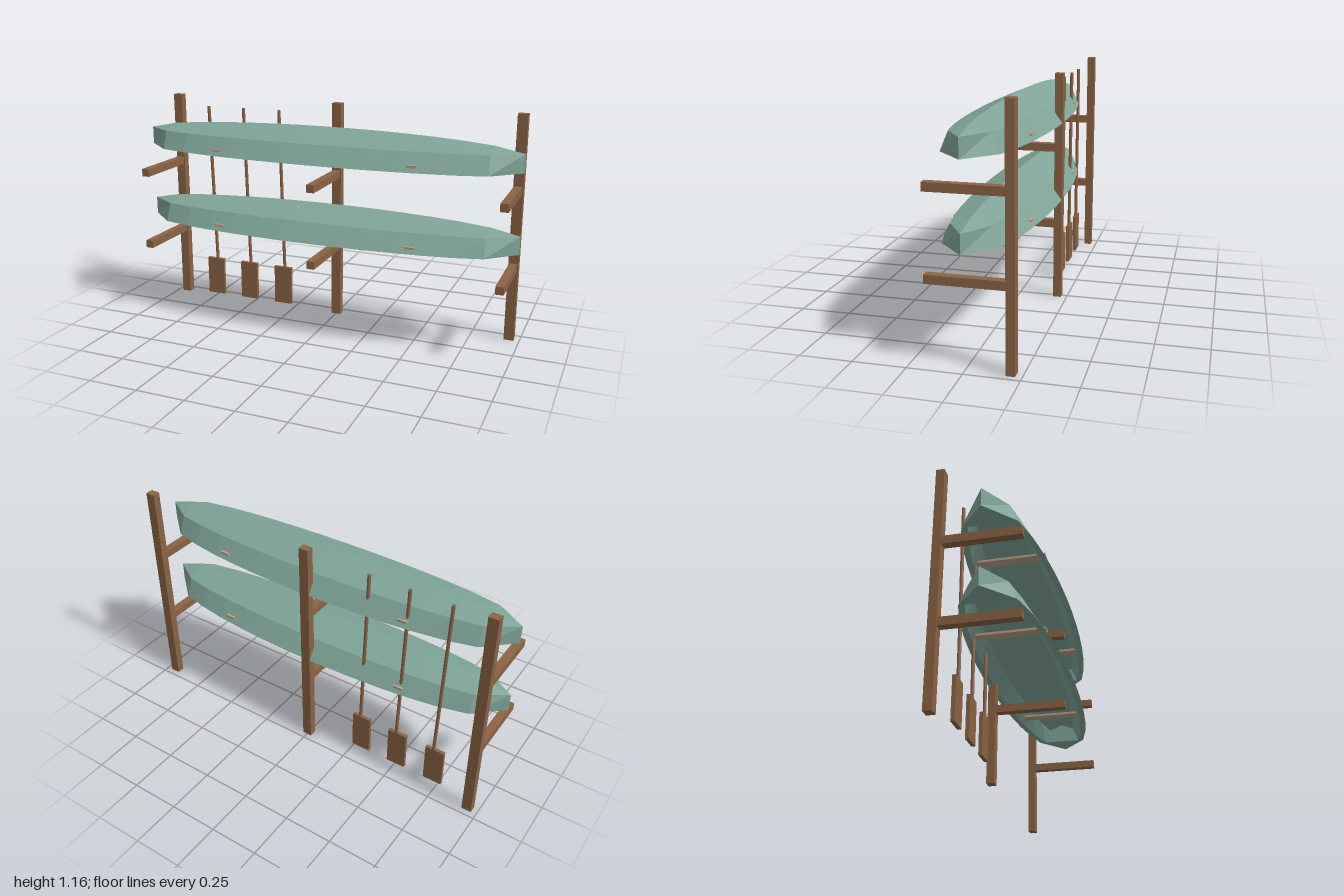
import * as THREE from 'three';

const wood = new THREE.MeshStandardMaterial({ color: 0x8b6344 });
wood.name = 'wood';
const paint = new THREE.MeshStandardMaterial({ color: 0x7fa598 });
paint.name = 'green hull paint';
const plank = new THREE.MeshStandardMaterial({ color: 0xb8a288 });
plank.name = 'pale seat wood';

function box(name, mat, w, h, d, x, y, z) {
  const m = new THREE.Mesh(new THREE.BoxGeometry(w, h, d), mat);
  m.name = name;
  m.position.set(x, y, z);
  return m;
}

// Flat-faced skin through a row of cross-sections (each a list of [x, y, z])
function loft(sections, flip) {
  const pos = [];
  const tri = (a, b, c) => {
    const [p, q, r] = [a, b, c].map(v => new THREE.Vector3(...v));
    if (q.sub(p).cross(r.sub(p)).length() < 1e-9) return;
    pos.push(...a, ...(flip ? c : b), ...(flip ? b : c));
  };
  for (let i = 0; i < sections.length - 1; i++) {
    const s = sections[i], t = sections[i + 1];
    for (let j = 0; j < s.length - 1; j++) {
      tri(s[j], s[j + 1], t[j]);
      tri(s[j + 1], t[j + 1], t[j]);
    }
  }
  const g = new THREE.BufferGeometry();
  g.setAttribute('position', new THREE.Float32BufferAttribute(pos, 3));
  g.computeVertexNormals();
  return g;
}

// Upturned hull: gunwale, chine, keel, chine, gunwale at each station
const STATIONS = 14;
const section = (x, w, chine, keel) => [
  [x, 0, -w], [x, chine, -w * 0.7], [x, keel, 0], [x, chine, w * 0.7], [x, 0, w],
];

function makeBoat() {
  const boat = new THREE.Group();
  boat.name = 'boat';
  const outer = [], inner = [], rimBack = [], rimFront = [];
  const tipX = 1 - 2 / STATIONS;
  for (let i = 0; i <= STATIONS; i++) {
    const x = -1 + 2 * i / STATIONS;
    const f = Math.max(0, 1 - x * x);
    const w = 0.22 * Math.pow(f, 0.4);
    outer.push(section(x, w, 0.09, 0.09 + 0.065 * Math.pow(f, 0.6)));
    // Inside skin stops short of the tips with an upright end wall
    const xi = THREE.MathUtils.clamp(x, -tipX, tipX);
    const end = i === 0 || i === STATIONS;
    const fi = 1 - xi * xi;
    inner.push(section(xi, end ? 0 : w - 0.03, 0.075, 0.075 + 0.065 * Math.pow(fi, 0.6)));
    rimBack.push([outer[i][0], inner[i][0]]);
    rimFront.push([inner[i][4], outer[i][4]]);
  }
  const skins = [
    ['hull', outer, false], ['hullInside', inner, true],
    ['rimBack', rimBack, true], ['rimFront', rimFront, true],
  ];
  for (const [name, sections, flip] of skins) {
    const m = new THREE.Mesh(loft(sections, flip), paint);
    m.name = name;
    boat.add(m);
  }
  for (const s of [-1, 1]) boat.add(box('seat', plank, 0.05, 0.012, 0.37, s * 0.51, 0.027, 0));
  return boat;
}

// Paddle: upright blade with a slightly leaning shaft
function makePaddle(x) {
  const paddle = new THREE.Group();
  paddle.name = 'paddle';
  paddle.position.set(x, 0, -0.159);
  paddle.add(box('blade', wood, 0.1, 0.21, 0.018, 0, 0.134, 0));
  const bottom = new THREE.Vector3(0.01, 0.2, 0), top = new THREE.Vector3(-0.014, 1.108, 0);
  const dir = top.clone().sub(bottom);
  const shaft = new THREE.Mesh(new THREE.CylinderGeometry(0.009, 0.009, dir.length(), 8), wood);
  shaft.name = 'shaft';
  shaft.position.copy(bottom).add(top).multiplyScalar(0.5);
  shaft.quaternion.setFromUnitVectors(new THREE.Vector3(0, 1, 0), dir.normalize());
  paddle.add(shaft);
  return paddle;
}

export function createModel() {
  const model = new THREE.Group();
  model.name = 'boatRack';

  // Posts with two arms each
  for (const x of [-0.947, 0, 0.947]) {
    model.add(box('post', wood, 0.05, 1.16, 0.04, x, 0.58, -0.2));
    for (const y of [0.392, 0.787]) {
      model.add(box('arm', wood, 0.04, 0.04, 0.36, x, y, -0.005));
    }
  }

  // Two stored boats, keel up
  for (const y of [0.52, 0.914]) {
    const boat = makeBoat();
    boat.position.y = y;
    model.add(boat);
  }

  for (const x of [-0.726, -0.515, -0.305]) model.add(makePaddle(x));
  return model;
}
